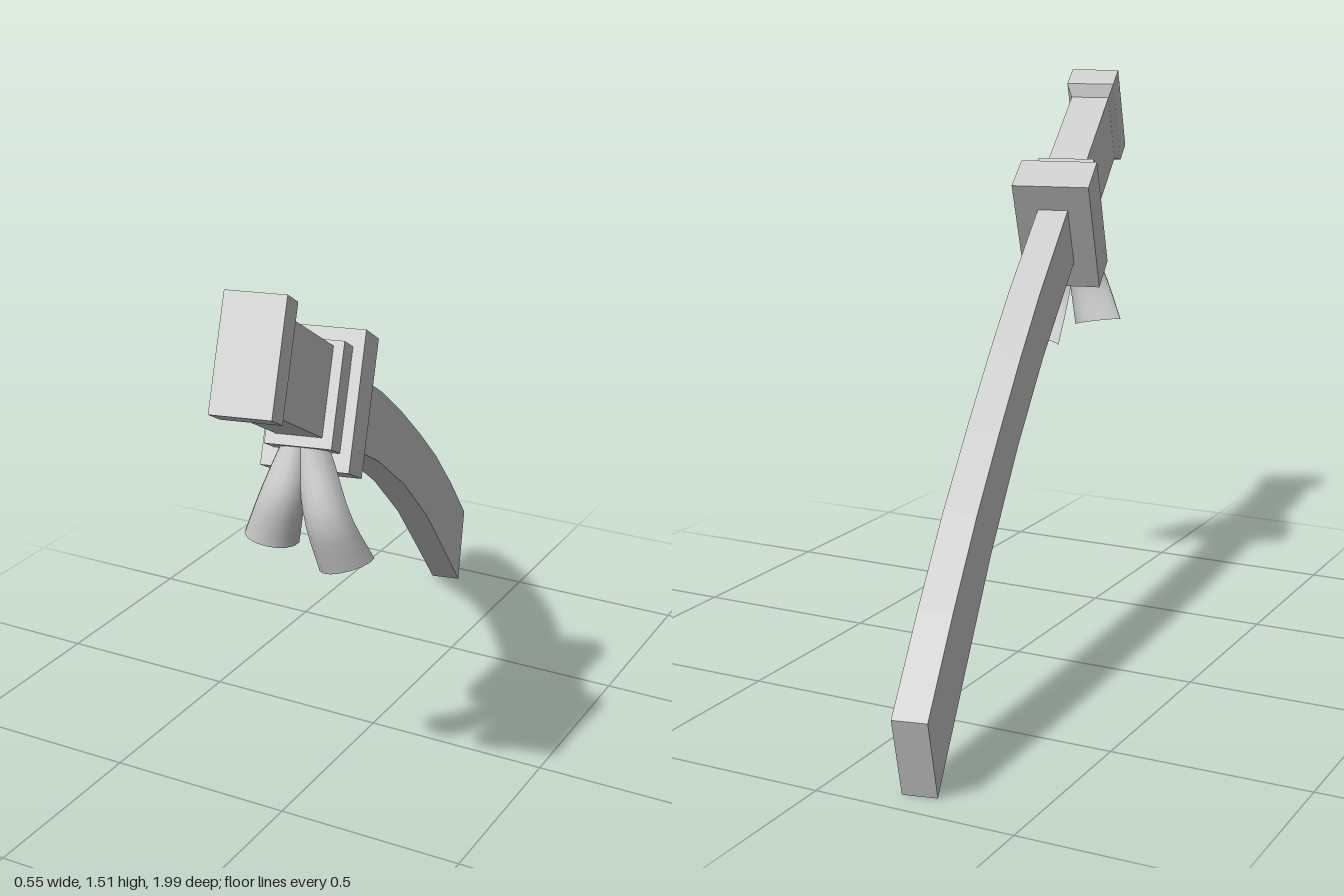
import * as THREE from 'three';

const grey = new THREE.MeshStandardMaterial({ color: 0xcccccc });
grey.name = 'plain grey';

function add(parent, name, geometry) {
  const mesh = new THREE.Mesh(geometry, grey);
  mesh.name = name;
  parent.add(mesh);
  return mesh;
}

// Box given by width, its range across (y) and its range along the hilt (z)
function hiltBox(parent, name, w, y0, y1, z0, z1) {
  const g = new THREE.BoxGeometry(w, y1 - y0, z1 - z0);
  g.translate(0, (y0 + y1) / 2, (z0 + z1) / 2);
  return add(parent, name, g);
}

// Curved side profile, extruded to an even thickness
function bladeGeometry(width) {
  const profile = [
    [0.36, 1.172], [0.317, 1.15], [0.009, 0.98], [-0.196, 0.85], [-0.40, 0.71],
    [-0.606, 0.56], [-0.811, 0.39], [-1.016, 0.205], [-0.945, 0],
    [-0.73, 0.20], [-0.485, 0.425], [-0.22, 0.63], [0.05, 0.805], [0.40, 0.995], [0.46, 1.025],
  ];
  const shape = new THREE.Shape(profile.map(p => new THREE.Vector2(...p)));
  const g = new THREE.ExtrudeGeometry(shape, { depth: width, bevelEnabled: false });
  g.translate(0, 0, -width / 2);
  g.rotateY(-Math.PI / 2);
  return g;
}

// Ribbon tail: crescent cross-sections that widen along a bent path
function tailGeometry(points, slant) {
  const path = new THREE.CatmullRomCurve3(points.map(p => new THREE.Vector3(...p)));
  const n = 8, rows = 10, ring = 2 * (n + 1);
  const pos = [], index = [];
  for (let k = 0; k <= rows + 1; k++) {
    const t = Math.min(k / rows, 1); // last ring repeated for a sharp end
    const c = path.getPoint(t);
    const half = 0.024 + 0.042 * Math.pow(t, 0.8);
    const depth = 0.035 + 0.025 * t;
    for (let i = 0; i < ring; i++) {
      const front = i <= n;
      const a = Math.PI * (front ? i : ring - 1 - i) / n;
      const x = Math.cos(a) * half;
      const z = Math.sin(a) * depth * (front ? 1 : 0.35) - depth * 0.6;
      pos.push(c.x + x, c.y + x * slant * t, c.z + z);
    }
  }
  for (let k = 0; k < rows; k++) {
    for (let i = 0; i < ring; i++) {
      const j = (i + 1) % ring;
      const a = k * ring + i, b = k * ring + j;
      index.push(a, b, a + ring, b, b + ring, a + ring);
    }
  }
  const e = (rows + 1) * ring;
  for (let i = 0; i < n; i++) {
    const j = ring - 1 - i;
    index.push(e + i, e + i + 1, e + j - 1, e + i, e + j - 1, e + j);
  }
  const g = new THREE.BufferGeometry();
  g.setAttribute('position', new THREE.Float32BufferAttribute(pos, 3));
  g.setIndex(index);
  g.computeVertexNormals();
  return g;
}

export function createModel() {
  const model = new THREE.Group();
  model.name = 'sword';

  // Whole sword turned slightly about the vertical
  const sword = new THREE.Group();
  sword.name = 'turnedSword';
  sword.position.x = -0.015;
  sword.rotation.y = 0.223;
  model.add(sword);

  add(sword, 'blade', bladeGeometry(0.084));

  // Hilt, built along z from the middle of the guard, then pitched up
  const hilt = new THREE.Group();
  hilt.name = 'hilt';
  hilt.position.set(0, 1.107, 0.43);
  hilt.rotation.x = -0.485;
  sword.add(hilt);
  hiltBox(hilt, 'guard', 0.214, -0.168, 0.168, -0.0625, 0.0625);
  hiltBox(hilt, 'collar', 0.16, -0.124, 0.126, 0.06, 0.14);
  hiltBox(hilt, 'grip', 0.11, -0.099, 0.113, 0.13, 0.55);

  // Pommel with its inner end tapered down to the grip
  const pommel = new THREE.BoxGeometry(0.138, 0.262, 0.1, 1, 1, 2);
  const p = pommel.attributes.position;
  for (let i = 0; i < p.count; i++) {
    const z = p.getZ(i);
    if (z < -0.01) p.setXY(i, p.getX(i) * 0.8, p.getY(i) > 0 ? 0.097 : -0.115);
    else if (z < 0.01) p.setZ(i, -0.03);
  }
  const flat = pommel.toNonIndexed();
  flat.computeVertexNormals();
  flat.translate(0, 0.016, 0.536);
  add(hilt, 'pommel', flat);

  // Two ribbon tails hanging below the collar
  add(sword, 'rightTail', tailGeometry(
    [[-0.008, 1.085, 0.575], [-0.02, 1.03, 0.59], [-0.045, 0.93, 0.618], [-0.08, 0.81, 0.602]], -0.15));
  add(sword, 'leftTail', tailGeometry(
    [[0.01, 1.085, 0.575], [0.025, 1.03, 0.59], [0.066, 0.89, 0.628], [0.1, 0.757, 0.592]], 0.3));

  return model;
}
